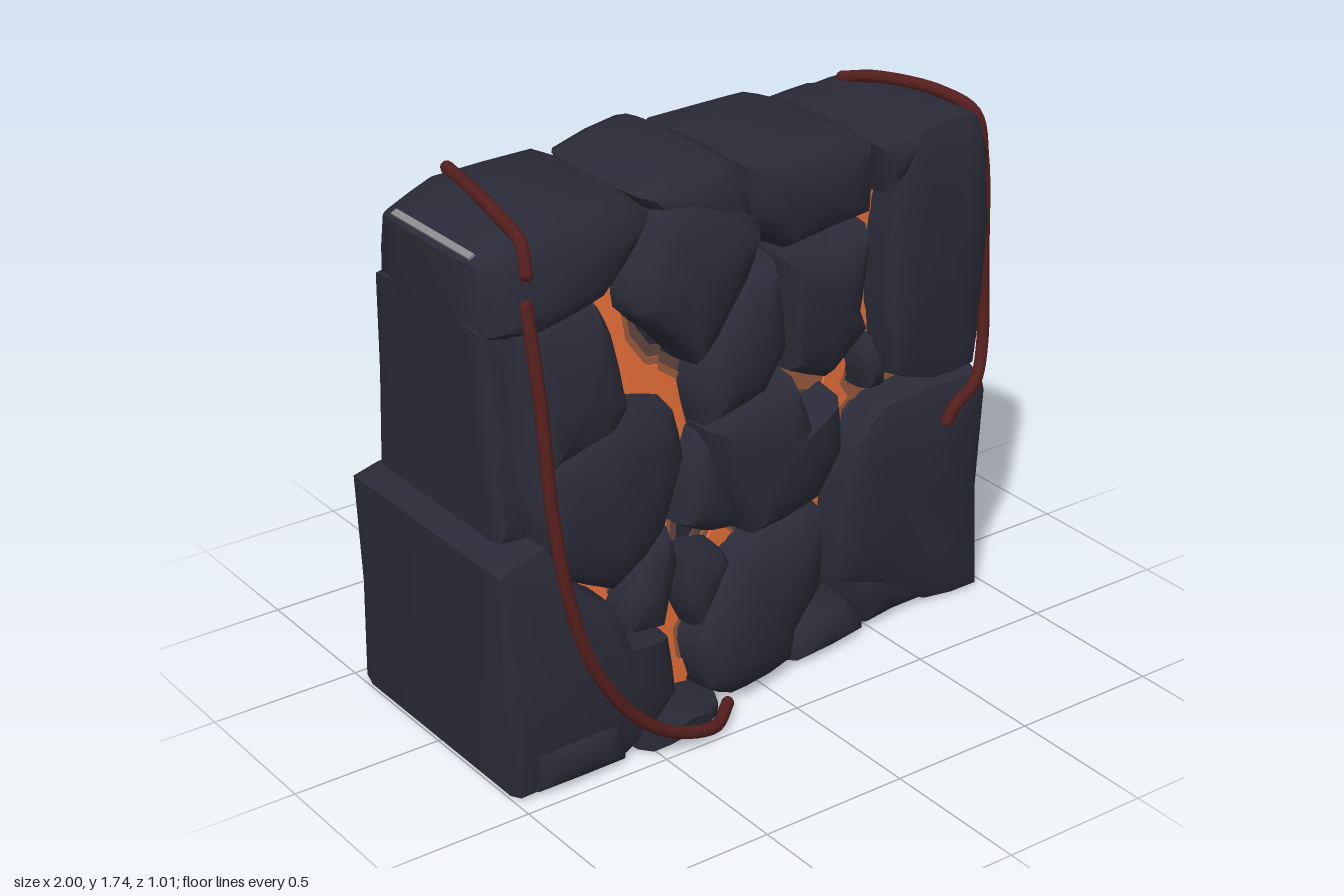
import * as THREE from 'three';
import { toCreasedNormals } from 'three/addons/utils/BufferGeometryUtils.js';

const clamp = THREE.MathUtils.clamp;
const rock = new THREE.MeshStandardMaterial({ color: 0x2a2a38, name: 'dark rock' });
const lava = new THREE.MeshStandardMaterial({ color: 0xe66f38, name: 'bright lava' });
const ember = new THREE.MeshStandardMaterial({ color: 0x9a5a3e, name: 'dim ember' });
const soot = new THREE.MeshStandardMaterial({ color: 0x62463e, name: 'dark ember' });
const root = new THREE.MeshStandardMaterial({ color: 0x541f1d, name: 'red root' });
const chip = new THREE.MeshStandardMaterial({ color: 0x8a8a8c, name: 'pale chip' });

// The wall leans: thicker at the bottom and towards the right-hand (-x) end
const rise = (y) => clamp(1 - y / 1.7, 0, 1);
const frontZ = (x, y) => 0.22 + (0.03 + 0.2 * clamp((0.6 - x) / 1.1, 0, 1)) * Math.pow(rise(y), 0.7);
const backZ = (x, y) => -0.4 - 0.07 * clamp(rise(y) * 2.5, 0, 1) * clamp((1.1 - x) / 0.8, 0.2, 1);

// Edge profiles as [outline scale, depth below the face]
const ROUND = [[0.5, 0.004], [0.8, 0.024], [0.945, 0.07], [1, 0.18]];
const BLOCK = [[0.5, 0.004], [0.85, 0.01], [0.97, 0.028], [1, 0.075]];

// Boulder lofted through the wall from an outline given in hundredths
function boulder(coords, push, rings, seed) {
  const corners = [];
  for (let i = 0; i < coords.length; i += 2) corners.push(new THREE.Vector2(coords[i] / 100, coords[i + 1] / 100));
  if (THREE.ShapeUtils.area(corners) < 0) corners.reverse();
  const c = new THREE.Vector2();
  corners.forEach((p) => c.addScaledVector(p, 1 / corners.length));

  // Add softly bulged midpoints
  const outline = [];
  corners.forEach((p, i) => {
    const q = corners[(i + 1) % corners.length];
    outline.push(p, p.clone().lerp(q, 0.5).sub(c).multiplyScalar(1.015).add(c));
  });
  const n = outline.length;
  const pos = [c.x, c.y, frontZ(c.x, c.y) + push];
  const addRing = (scale, depth, back) => outline.forEach((p) => {
    const x = c.x + (p.x - c.x) * scale;
    const y = Math.max(0, c.y + (p.y - c.y) * scale);
    const bump = 0.014 * Math.sin(9 * x + seed * 2.1) * Math.cos(8 * y + seed * 1.3);
    const z = back ? backZ(x, y) + depth - push * 0.5 - bump : frontZ(x, y) - depth + push + bump;
    pos.push(x, y, z);
  });
  rings.forEach(([s, d]) => addRing(s, d, false));
  rings.slice().reverse().forEach(([s, d]) => addRing(s, d, true));
  pos.push(c.x, c.y, backZ(c.x, c.y) - push * 0.5);
  const last = pos.length / 3 - 1;
  const count = rings.length * 2;
  const index = [];
  for (let i = 0; i < n; i++) {
    const j = (i + 1) % n;
    index.push(0, 1 + i, 1 + j);
    for (let r = 0; r < count - 1; r++) {
      const a = 1 + r * n, b = a + n;
      index.push(a + i, b + i, b + j, a + i, b + j, a + j);
    }
    const e = 1 + (count - 1) * n;
    index.push(e + i, last, e + j);
  }
  const g = new THREE.BufferGeometry();
  g.setAttribute('position', new THREE.Float32BufferAttribute(pos, 3));
  g.setIndex(index);
  return toCreasedNormals(g, 0.85);
}

// Slab that follows the leaning faces at a given depth below them
function slab(x, y, w, h, angle, depth) {
  const g = new THREE.BoxGeometry(w, h, 1, 6, 6, 1);
  g.rotateZ(angle).translate(x, y, 0);
  const p = g.attributes.position;
  for (let i = 0; i < p.count; i++) {
    const px = p.getX(i), py = clamp(p.getY(i), 0.005, 1.6);
    p.setY(i, py);
    p.setZ(i, p.getZ(i) > 0 ? frontZ(px, py) - depth : backZ(px, py) + depth);
  }
  g.computeVertexNormals();
  return g;
}

export function createModel() {
  const model = new THREE.Group();
  const add = (name, geometry, material) => {
    const m = new THREE.Mesh(geometry, material);
    m.name = name;
    model.add(m);
    return m;
  };
  let seed = 0;
  const stone = (name, coords, push = 0, rings = ROUND) => add(name, boulder(coords, push, rings, ++seed), rock);

  // Dark heart of the wall
  add('wallCore', slab(0, 0.8, 1.7, 1.6, 0, 0.175), rock);

  // Right-hand column and its neighbours
  stone('rightCapStone', [-93, 161, -75, 170, -38, 170, -29, 163, -38, 152, -50, 142, -79, 137, -93, 139], -0.015);
  stone('rightUpperStone', [-86, 142, -53, 142, -49, 132, -47, 116, -46, 109, -53, 102, -79, 95, -86, 90]);
  stone('rightEndStone', [-93, 142, -75, 145, -70, 100, -75, 76, -92, 76], -0.09, BLOCK);
  stone('rightMiddleStone', [-83, 100, -69, 105, -47, 109, -29, 104, -26, 87, -37, 67, -58, 53, -77, 62, -84, 76], 0.02);
  stone('rightBaseStone', [-100, 73, -82, 77, -76, 61, -61, 52, -55, 36, -39, 33, -38, 14, -58, 0, -99, 0], 0, BLOCK);
  stone('rightFootStone', [-96, 14, -58, 15, -57, 8, -58, 0, -97, 0], 0.015);
  stone('rightToeStone', [-55, 8, -35, 9, -19, 5, -20, 0, -55, 0], 0.02);

  // Middle stones
  stone('upperMiddleStone', [-43, 143, -38, 151, -29, 164, -18, 166, 1, 159, 8, 151, 1, 137, -13, 119, -21, 113, -31, 124, -43, 135], 0.02);
  stone('topMiddleStone', [-34, 167, -20, 172, -5, 174, 3, 170, 8, 150, -10, 150, -28, 160], -0.02);
  stone('topLeftStone', [2, 170, 41, 171, 54, 166, 53, 143, 17, 139, 4, 152]);
  stone('topWedgeStone', [52, 166, 72, 167, 64, 152, 57, 147], -0.01);
  stone('innerStone', [-15, 117, 1, 135, 14, 139, 16, 111, 6, 96, -18, 92, -21, 105]);
  stone('innerLeftStone', [14, 139, 33, 137, 51, 141, 46, 113, 49, 105, 33, 92, 17, 99], 0.01);
  stone('centreStone', [-18, 92, 3, 96, 19, 99, 25, 82, 38, 87, 40, 68, 28, 52, -2, 51, -13, 71], 0.01);
  stone('centreSliver', [-26, 81, -18, 91, -7, 71, -5, 55, -18, 57, -29, 63], -0.02);
  stone('crackStoneRight', [-56, 44, -42, 63, -32, 65, -30, 55, -39, 33, -55, 36], -0.025);
  stone('crackStoneLow', [-30, 55, -13, 52, -9, 47, -26, 28, -31, 39], -0.025);
  stone('crackChip', [48, 95, 53, 103, 60, 93, 59, 82, 51, 82], -0.03);
  stone('baseMiddleStone', [-27, 22, -7, 47, 20, 52, 31, 51, 31, 25, 17, 11, 14, 0, -13, 0, -23, 5]);
  stone('baseSmallStone', [13, 0, 14, 6, 22, 14, 42, 13, 50, 4, 50, 0], -0.01);

  // Left-hand column
  stone('leftUpperStone', [68, 166, 86, 168, 95, 166, 98, 153, 98, 105, 95, 80, 78, 79, 60, 86, 58, 111, 60, 143], -0.01, BLOCK);
  stone('leftBaseStone', [45, 68, 57, 77, 95, 80, 98, 73, 97, 0, 76, 0, 58, 8, 44, 18, 35, 22, 37, 47], 0, BLOCK);
  stone('leftFootStone', [42, 20, 62, 19, 74, 13, 78, 0, 47, 0, 43, 10], -0.01);

  // Lava in the cracks: a bright middle between two dimmer rims
  const cracks = [
    [-31, 156, -45, 140, -43, 122, -36, 112, -25, 104, -23, 92, -31, 74, -34, 52, -33, 32, -32, 15, -26, 8],
    [-46, 111, -30, 109],
    [-37, 13, -25, 10],
    [-33, 28, -18, 40, -6, 51],
    [-60, 53, -56, 42],
    [60, 152, 55, 138, 51, 115, 57, 96],
    [46, 91, 42, 82, 42, 70, 37, 55, 34, 42, 33, 26],
    [41, 76, 47, 80],
  ];
  // Cracks that only glow faintly
  const faintCracks = [
    [33, 26, 19, 14], [47, 79, 74, 79], [41, 86, 21, 94], [64, 24, 65, 14],
  ];
  const glow = (name, path, width, depth, material) => {
    for (let i = 0; i + 3 < path.length; i += 2) {
      const [x0, y0, x1, y1] = path.slice(i, i + 4).map((v) => v / 100);
      const length = Math.hypot(x1 - x0, y1 - y0) + width * 0.4;
      const angle = Math.atan2(y1 - y0, x1 - x0);
      add(name, slab((x0 + x1) / 2, (y0 + y1) / 2, length, width, angle, depth), material);
    }
  };
  cracks.forEach((path) => {
    glow('sootRim', path, 0.19, 0.168, soot);
    glow('emberRim', path, 0.125, 0.16, ember);
    glow('lavaCrack', path, 0.08, 0.152, lava);
  });
  faintCracks.forEach((path) => {
    glow('faintRim', path, 0.12, 0.17, soot);
    glow('faintCrack', path, 0.07, 0.162, ember);
  });

  // Roots draped over the stones
  const vine = (name, points) => {
    const curve = new THREE.CatmullRomCurve3(points.map((p) => new THREE.Vector3(...p)));
    add(name, new THREE.TubeGeometry(curve, points.length * 6, 0.021, 8), root);
    for (const p of [points[0], points[points.length - 1]]) {
      add(name + 'Tip', new THREE.SphereGeometry(0.021, 8, 6), root).position.set(...p);
    }
  };
  vine('rightTopRoot', [[-0.69, 1.7, -0.33], [-0.74, 1.71, -0.1], [-0.77, 1.695, 0.08], [-0.78, 1.66, 0.2], [-0.79, 1.58, 0.24]]);
  vine('rightLongRoot', [[-0.8, 1.49, 0.25], [-0.81, 1.2, 0.33], [-0.82, 0.9, 0.39], [-0.8, 0.62, 0.44], [-0.73, 0.38, 0.46],
    [-0.6, 0.18, 0.48], [-0.45, 0.07, 0.485], [-0.3, 0.03, 0.475], [-0.18, 0.025, 0.38]]);
  vine('leftRoot', [[0.78, 1.68, -0.3], [0.83, 1.705, -0.18], [0.91, 1.7, 0.03], [0.96, 1.65, 0.14], [0.975, 1.5, 0.17],
    [0.975, 1.2, 0.19], [0.96, 0.88, 0.22], [0.9, 0.78, 0.26], [0.8, 0.73, 0.28], [0.76, 0.67, 0.28], [0.79, 0.69, 0.27]]);
  vine('backRoot', [[-0.77, 0.65, -0.46], [-0.75, 0.52, -0.48], [-0.74, 0.35, -0.485], [-0.76, 0.18, -0.47]]);

  // Pale chip on the top edge
  const plate = add('paleChip', new THREE.BoxGeometry(0.022, 0.008, 0.42), chip);
  plate.position.set(-0.905, 1.628, -0.07);
  plate.rotation.z = 0.46;
  return model;
}
